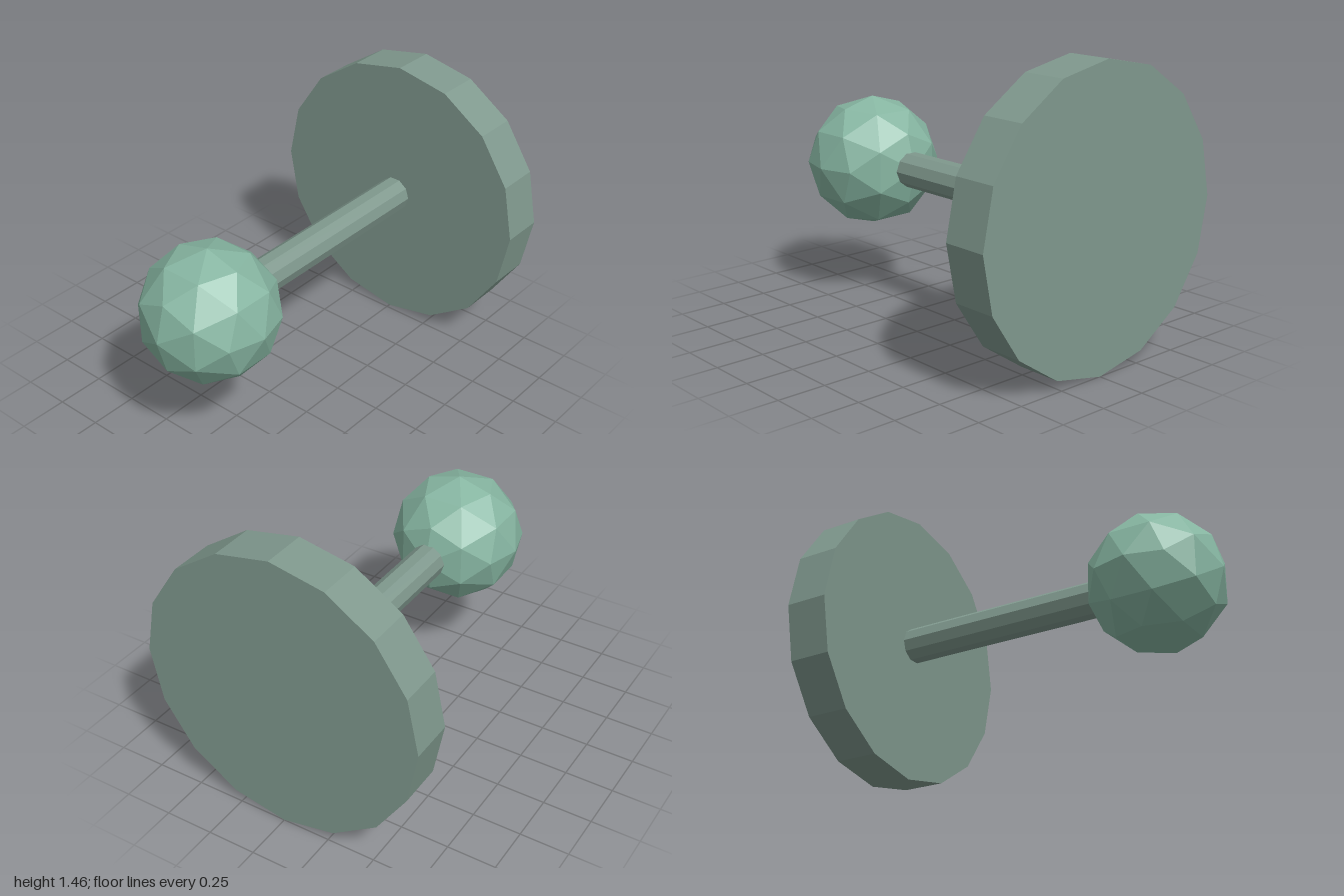
import * as THREE from 'three';

export function createModel() {
  const group = new THREE.Group();
  const grey = new THREE.MeshStandardMaterial({ color: 0x7f988d, flatShading: true });
  grey.name = 'greyGreen';
  const green = new THREE.MeshStandardMaterial({ color: 0x86b5a1, flatShading: true });
  green.name = 'paleGreen';
  const axisY = 0.733;

  // Faceted cylinder lying along z between two depths
  function rod(name, radius, z0, z1, sides) {
    const geo = new THREE.CylinderGeometry(radius, radius, z1 - z0, sides);
    geo.rotateY(Math.PI / 2).rotateX(Math.PI / 2);
    const mesh = new THREE.Mesh(geo, grey);
    mesh.name = name;
    mesh.position.set(0, axisY, (z0 + z1) / 2);
    group.add(mesh);
  }

  rod('basePlate', 0.731, -1, -0.772, 16);
  rod('stem', 0.092, -0.78, 0.5, 10);

  // Faceted ball on the end of the stem
  const knob = new THREE.Mesh(new THREE.IcosahedronGeometry(0.345, 1), green);
  knob.name = 'knob';
  knob.position.set(0, axisY, 0.655);
  group.add(knob);

  return group;
}
